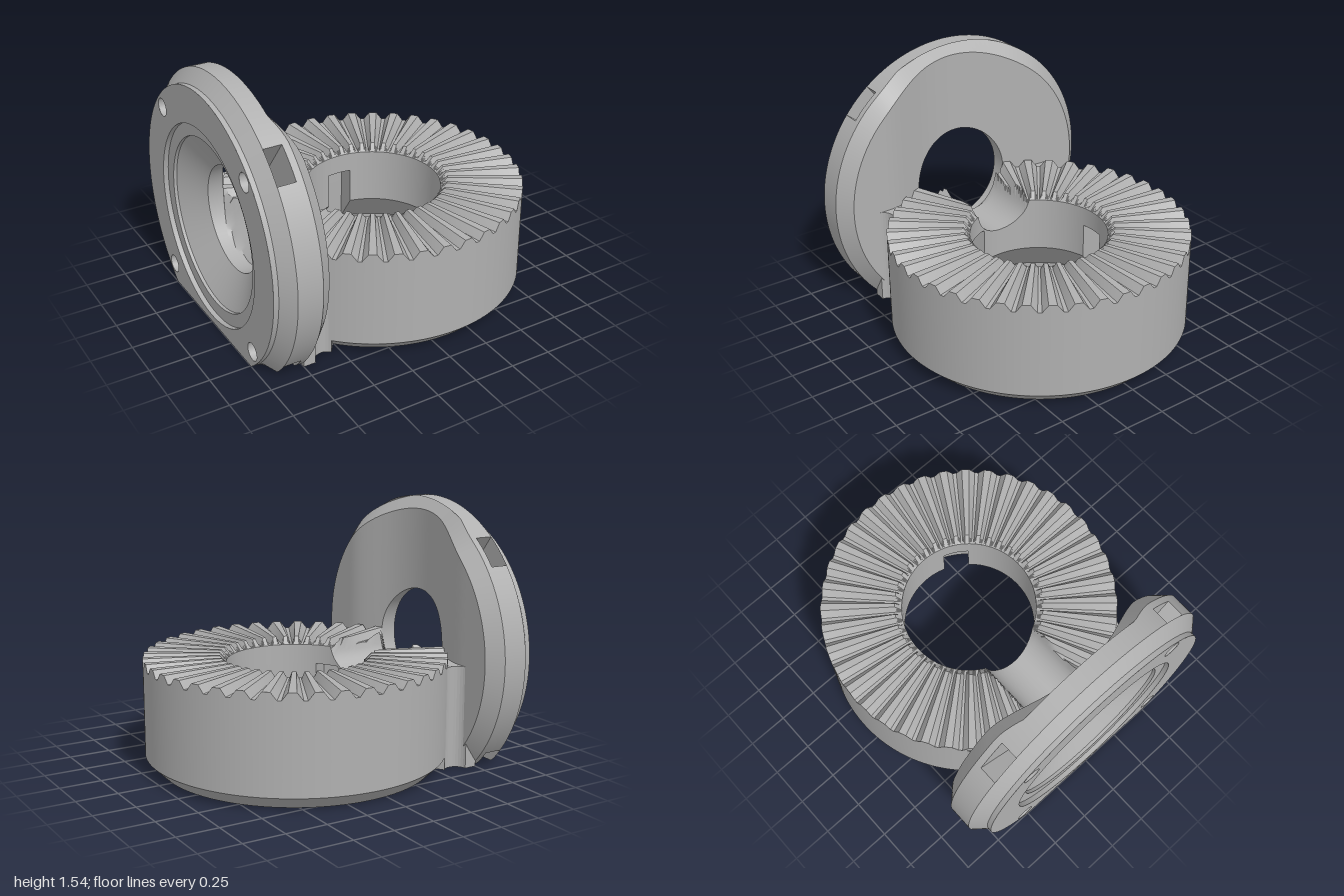
import * as THREE from 'three';
import { toCreasedNormals } from 'three/addons/utils/BufferGeometryUtils.js';

const RING_X = 0.1;      // ring axis
const FLANGE_Y = 0.645;  // flange axis height
const rad = THREE.MathUtils.degToRad;

// Skin a closed sweep of profile columns, each a list of [x, y, z].
function loft(columns, closeProfile) {
  const pos = [], index = [], m = columns[0].length, n = columns.length;
  columns.forEach(col => col.forEach(p => pos.push(...p)));
  for (let i = 0; i < n; i++) {
    for (let j = 0; j < (closeProfile ? m : m - 1); j++) {
      const i2 = (i + 1) % n, j2 = (j + 1) % m;
      const a = i * m + j, b = i * m + j2, c = i2 * m + j, d = i2 * m + j2;
      index.push(a, b, c, b, d, c);
    }
  }
  const g = new THREE.BufferGeometry();
  g.setAttribute('position', new THREE.Float32BufferAttribute(pos, 3));
  g.setIndex(index);
  return toCreasedNormals(g, 0.5);
}

// Angles around a circle, doubled at the edges of each pocket.
function sweepAngles(count, pockets, half) {
  const list = [];
  for (let i = 0; i < count; i++) {
    const deg = i * 360 / count;
    list.push({ deg, order: 0, pocket: pockets.some(p => Math.abs(deg - p) < half) });
  }
  for (const p of pockets) {
    list.push({ deg: p - half, order: -1, pocket: false }, { deg: p - half, order: 1, pocket: true });
    list.push({ deg: p + half, order: -1, pocket: true }, { deg: p + half, order: 1, pocket: false });
  }
  return list.sort((a, b) => a.deg - b.deg || a.order - b.order);
}

// Height of the ring's top: radial teeth, inner chamfer and the side channel.
function ringTop(r, deg) {
  const f = (deg / 9) % 1;
  const d = 2 * Math.min(f, 1 - f);
  const tooth = THREE.MathUtils.clamp((d - 1 / 6) * 2, 0, 1);
  let y = 0.62 + Math.min(0.045 * tooth, Math.max(0, r - 0.41) * 1.1);
  const x = RING_X + r * Math.cos(rad(deg)), z = r * Math.sin(rad(deg));
  const bore = THREE.MathUtils.clamp(0.19 + (-0.65 - x) * 1.3, 0.19, 0.32);
  if (x < 0 && Math.abs(z) < bore) y = Math.min(y, FLANGE_Y - Math.sqrt(bore * bore - z * z));
  return y;
}

function ringGeometry() {
  const columns = sweepAngles(480, [30, 150, 270], 11).map(({ deg, pocket }) => {
    const profile = [[0.6, 0], [0.82, 0], [0.9, 0.08]];
    for (let k = 0; k <= 18; k++) {
      const r = k === 18 ? 0.41 : 0.9 - 0.45 * k / 17;
      profile.push([r, ringTop(r, deg)]);
    }
    const y = Math.min(0.5, ringTop(0.41, deg) - 0.02);
    const wall = pocket ? 0.58 : 0.41;
    profile.push([0.41, y], [wall, y], [wall, 0.28], [0.6, 0.06]);
    const c = Math.cos(rad(deg)), s = Math.sin(rad(deg));
    return profile.map(([r, h]) => [RING_X + r * c, h, r * s]);
  });
  return loft(columns, true);
}

// Flange front face: hollowed around the ring, easing into a flat.
function faceX(z) {
  const a = RING_X - Math.sqrt(Math.max(0, 0.81 - z * z)), b = -0.67, k = 0.08;
  const h = Math.max(k - Math.abs(a - b), 0) / k;
  return Math.min(a, b) - h * h * k / 4;
}

function flangeGeometry() {
  const columns = sweepAngles(180, [45, 135, 225, 315], 6.7).map(({ deg, pocket }) => {
    const c = Math.cos(rad(deg)), s = Math.sin(rad(deg));
    const limit = s < 0 ? FLANGE_Y / -s : 9;   // flat base at y = 0
    const floor = pocket ? 0.64 : 0.9;
    const col = [];
    const add = (r, x, onFace) => {
      const q = Math.min(r, limit), z = q * c;
      col.push([onFace ? faceX(z) + x : x, FLANGE_Y + q * s, z]);
    };
    add(0.82, -1); add(0.82, -0.97); add(0.9, -0.9);
    add(floor, -0.9); add(floor, -0.79); add(0.9, -0.79);
    add(0.9, -0.08, true);
    for (let k = 0; k <= 12; k++) add(0.82 - 0.5 * k / 12, 0, true);
    add(0.32, -0.84); add(0.52, -0.95); add(0.52, -0.97); add(0.6, -0.97); add(0.6, -1);
    return col;
  });
  return loft(columns, false);
}

// Back face of the flange with four screw holes.
function backFaceGeometry() {
  const shape = new THREE.Shape();
  const cut = Math.asin(FLANGE_Y / 0.82);
  shape.absarc(0, 0, 0.82, -cut, Math.PI + cut, false);
  const hole = (x, y, r) => {
    const p = new THREE.Path();
    p.absarc(x, y, r, 0, Math.PI * 2, true);
    shape.holes.push(p);
  };
  hole(0, 0, 0.6);
  for (const x of [-0.53, 0.53]) for (const y of [-0.53, 0.53]) hole(x, y, 0.055);
  return new THREE.ShapeGeometry(shape, 48).rotateY(-Math.PI / 2).translate(-1, FLANGE_Y, 0);
}

// Upright prism from a plan shape.
function prism(shape, height) {
  return new THREE.ExtrudeGeometry(shape, { depth: height, bevelEnabled: false, curveSegments: 16 })
    .rotateX(Math.PI / 2).translate(0, height, 0);
}

export function createModel() {
  const group = new THREE.Group();
  const grey = new THREE.MeshStandardMaterial({ color: 0xb0b0b0, side: THREE.DoubleSide });
  grey.name = 'grey';
  const add = (name, geometry) => {
    const mesh = new THREE.Mesh(geometry, grey);
    mesh.name = name;
    group.add(mesh);
    return mesh;
  };

  add('toothedRing', ringGeometry());
  add('flange', flangeGeometry());
  add('flangeBackFace', backFaceGeometry());

  // Blind screw sockets behind the back face
  const cup = [[0, 0], [0.055, 0], [0.055, 0.1]].map(p => new THREE.Vector2(...p));
  for (const z of [-0.53, 0.53]) {
    for (const y of [-0.53, 0.53]) {
      const socket = toCreasedNormals(new THREE.LatheGeometry(cup, 24).rotateZ(Math.PI / 2), 0.5);
      add('screwSocket', socket).position.set(-0.9, FLANGE_Y + y, z);
    }
  }

  // Filleted webs joining ring and flange
  for (const side of [-1, 1]) {
    const pts = [[-0.75, 0.4], [-0.6, 0.4], [-0.5, 0.55], [-0.55, 0.62]];
    for (let k = 0; k <= 10; k++) {
      const a = rad(-39 - 137 * k / 10);
      pts.push([-0.605 + 0.07 * Math.cos(a), 0.665 + 0.07 * Math.sin(a)]);
    }
    pts.push([-0.75, 0.66]);
    add('sideWeb', prism(new THREE.Shape(pts.map(([x, z]) => new THREE.Vector2(x, z * side))), 0.615));
  }

  // Flat foot closing the ring's chamfer beside the flange
  const foot = new THREE.Shape([[-0.85, -0.5], [-0.6, -0.5], [-0.6, 0.5], [-0.85, 0.5]]
    .map(p => new THREE.Vector2(...p)));
  add('foot', prism(foot, 0.1));
  return group;
}
